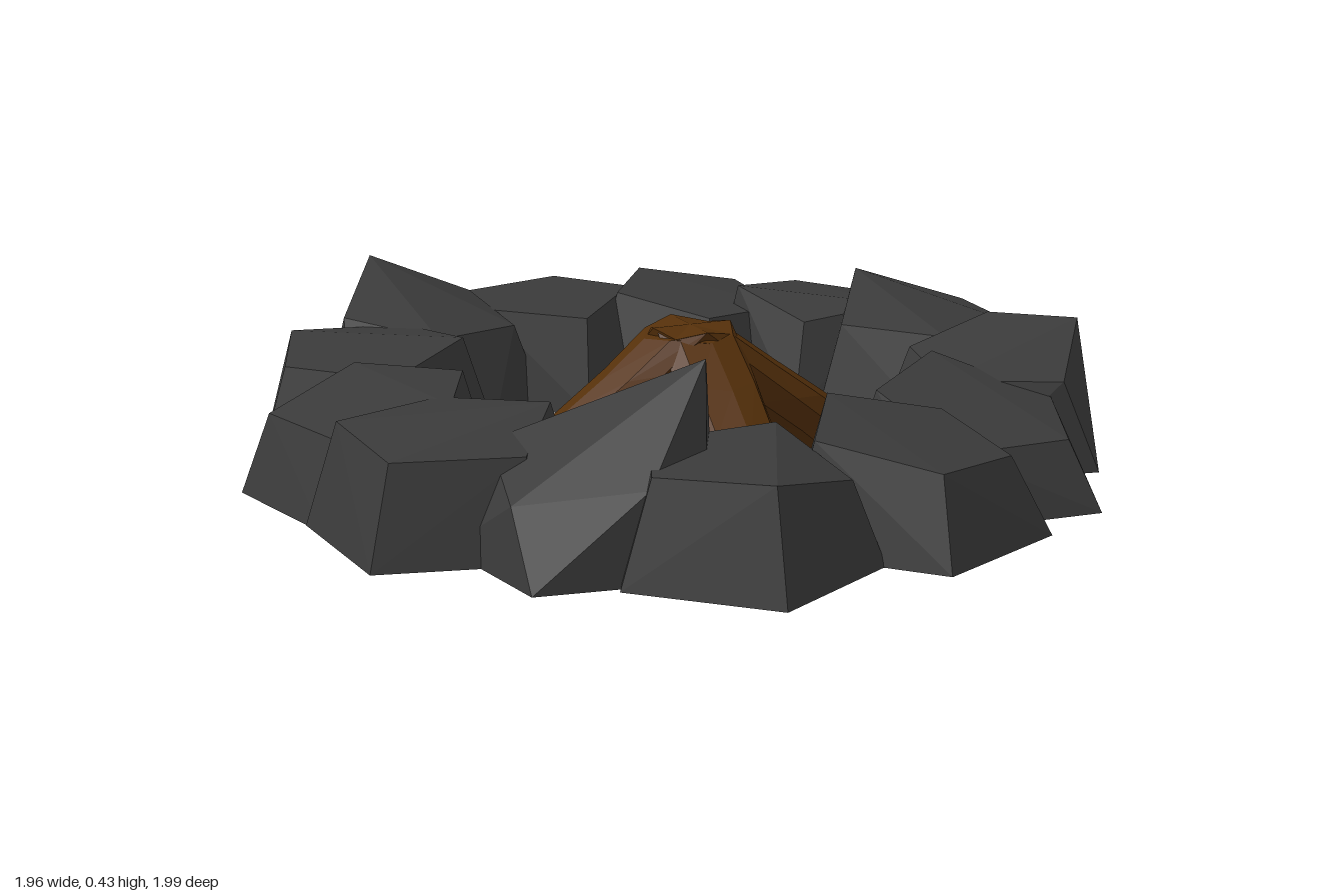
import * as THREE from 'three';
import { ConvexGeometry } from 'three/addons/geometries/ConvexGeometry.js';

// Ring stones: centre x, centre z, radius, first corner angle, twist of the top (degrees),
// then the heights of the five top corners
const STONES = [
  [-0.04, -0.76, 0.295, 90, -8, 0.26, 0.28, 0.27, 0.28, 0.29],
  [0.34, -0.67, 0.30, -114, 4, 0.30, 0.26, 0.24, 0.25, 0.29],
  [0.61, -0.48, 0.28, -84, 0, 0.27, 0.25, 0.28, 0.25, 0.30],
  [0.72, -0.16, 0.30, 180, 0, 0.28, 0.36, 0.28, 0.27, 0.28],
  [0.70, 0.20, 0.285, -7, 14, 0.34, 0.25, 0.25, 0.27, 0.32],
  [0.50, 0.46, 0.30, 58, 0, 0.19, 0.19, 0.27, 0.30, 0.22],
  [0.22, 0.65, 0.30, 30, 0, 0.21, 0.23, 0.27, 0.30, 0.25],
  [-0.19, 0.705, 0.29, 98, 0, 0.27, 0.26, 0.26, 0.28, 0.22],
  [-0.43, 0.50, 0.30, 135, 20, 0.19, 0.25, 0.27, 0.43, 0.23],
  [-0.65, 0.26, 0.31, 140, 0, 0.25, 0.27, 0.27, 0.29, 0.25],
  [-0.70, -0.07, 0.30, 203, 0, 0.22, 0.28, 0.28, 0.27, 0.22],
  [-0.61, -0.41, 0.30, 237, 0, 0.29, 0.28, 0.30, 0.26, 0.27],
  [-0.38, -0.66, 0.285, 222, 24, 0.40, 0.30, 0.26, 0.27, 0.30],
];
const GROUND = 0.04;

// Small repeatable variation in -1..1
const vary = (n) => {
  const s = Math.sin(n * 12.9898 + 4.1) * 43758.5453;
  return (s - Math.floor(s)) * 2 - 1;
};

// Five-cornered block: wide flat base, narrower uneven top
function stoneGeometry([cx, cz, r, deg, twist, ...heights], seed) {
  const points = [];
  heights.forEach((h, k) => {
    const a = THREE.MathUtils.degToRad(deg + k * 72);
    const t = a + THREE.MathUtils.degToRad(twist);
    const rt = r * (0.75 + 0.05 * vary(seed * 10 + k));
    points.push(
      new THREE.Vector3(cx + r * Math.cos(a), GROUND, cz + r * Math.sin(a)),
      new THREE.Vector3(cx + rt * Math.cos(t), h, cz + rt * Math.sin(t)),
    );
  });
  return new ConvexGeometry(points);
}

// Slanted log with level-cut ends, running from the peak out along +x
function logGeometry(seed) {
  const geo = new THREE.CylinderGeometry(1, 1, 1, 8, 4);
  const p = geo.attributes.position;
  for (let i = 0; i < p.count; i++) {
    const u = p.getY(i) + 0.5;
    const ring = Math.round(u * 4);
    const w = 1 + 0.06 * vary(seed * 7 + ring);
    const x = p.getX(i) * 0.105 * w;
    const z = p.getZ(i) * 0.095 * w + 0.008 * vary(seed * 13 + ring + 50);
    const tilt = u < 0.1 ? 0.12 * x : -0.22 * Math.abs(x) * u;
    p.setXYZ(i, 0.44 * (1 - u) + x, 0.0125 + 0.346 * u + tilt, z);
  }
  return geo;
}

export function createModel() {
  const model = new THREE.Group();
  model.name = 'campfire';
  const stoneMat = new THREE.MeshStandardMaterial({ color: 0x3a3a3a, flatShading: true });
  const woodMat = new THREE.MeshStandardMaterial({ color: 0x55300a, flatShading: true });

  // Stone ring
  const ring = new THREE.Group();
  ring.name = 'stoneRing';
  STONES.forEach((spec, i) => {
    const stone = new THREE.Mesh(stoneGeometry(spec, i + 1), stoneMat);
    stone.name = `stone${i + 1}`;
    ring.add(stone);
  });

  // Four logs leaning together
  const logs = new THREE.Group();
  logs.name = 'logs';
  logs.position.set(0.025, 0, -0.015);
  for (let i = 0; i < 4; i++) {
    const log = new THREE.Mesh(logGeometry(i + 1), woodMat);
    log.name = `log${i + 1}`;
    log.rotation.y = (i * Math.PI) / 2;
    logs.add(log);
  }

  model.add(ring, logs);
  return model;
}
